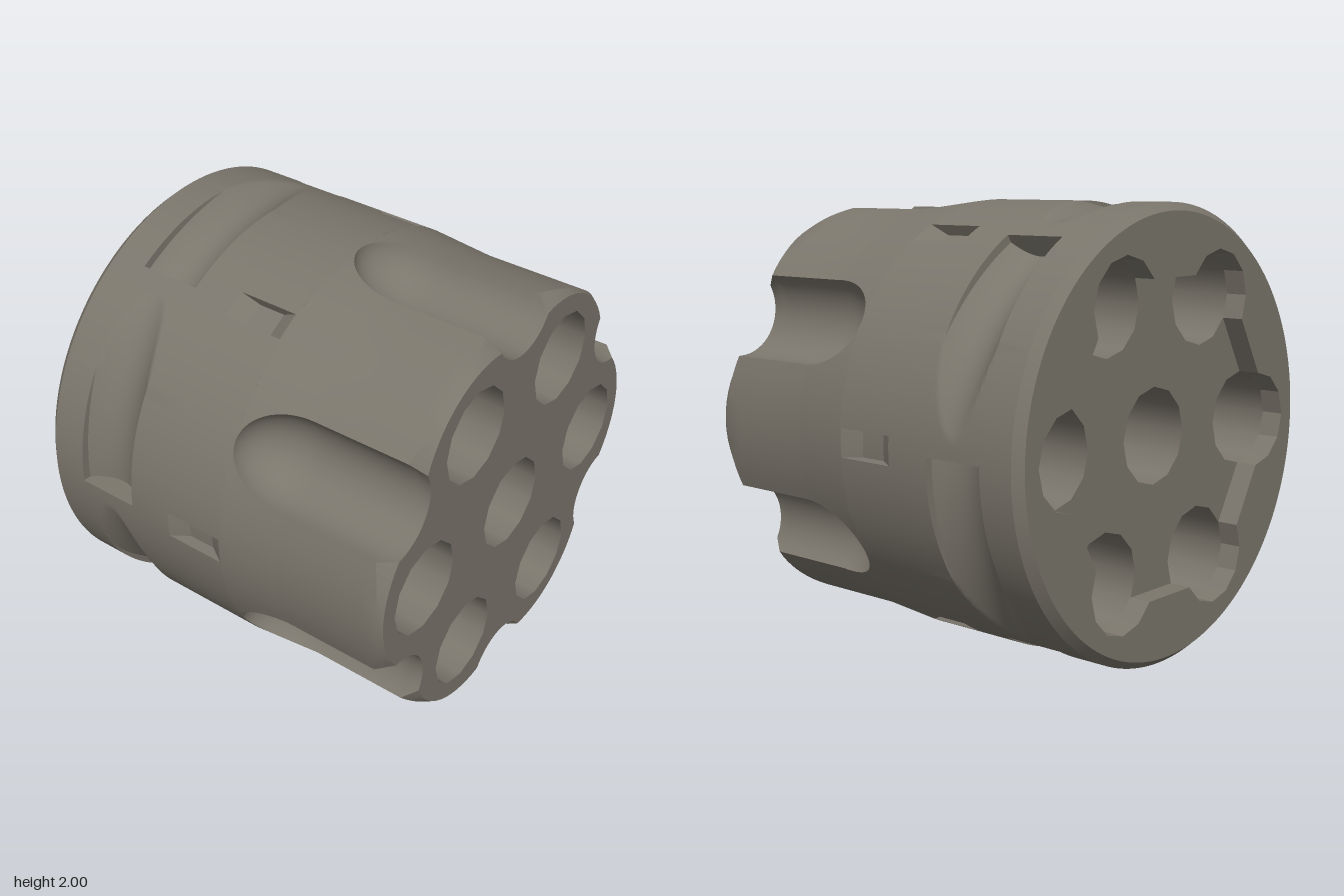
import * as THREE from 'three';
import { toCreasedNormals } from 'three/addons/utils/BufferGeometryUtils.js';

const RAD = Math.PI / 180;
const BACK = -0.905, FLOOR = -0.805, FRONT = 0.905; // main planes along the axis
const NOSE_END = 0.09, NOSE_START = 0.39, FLUTE_R = 0.21;
const BORE_R = 0.215, BORE_RING = 0.67;
const clamp = (v) => Math.min(1, Math.max(0, v));
const polar = (r, a, z) => new THREE.Vector3(r * Math.cos(a), r * Math.sin(a), z);

// Skin between rows of points; rows run counter-clockwise, from front to back, for outward faces
function loft(rows) {
  const n = rows[0].length, index = [];
  for (let i = 0; i < rows.length - 1; i++) {
    for (let j = 0; j < n - 1; j++) {
      const a = i * n + j, b = a + 1, c = a + n, d = c + 1;
      index.push(a, c, b, b, c, d);
    }
  }
  const g = new THREE.BufferGeometry().setFromPoints(rows.flat());
  g.setIndex(index);
  return toCreasedNormals(g, 0.5);
}

// Flat face with holes at a given z
function plate(outline, holes, z, facesBack) {
  const shape = new THREE.Shape(outline);
  shape.holes = holes.map((h) => new THREE.Path(h));
  const g = new THREE.ShapeGeometry(shape);
  if (facesBack) {
    g.index.array.reverse();
    g.computeVertexNormals();
  }
  return g.translate(0, 0, z);
}

// Points of a twelve-sided bore; a chamber's angles are measured from its outward direction
function arc(k, from, to) {
  const points = [], step = Math.sign(to - from) * 30, count = Math.abs(to - from) / 30;
  const dir = k * 60 * RAD, ring = k < 0 ? 0 : BORE_RING;
  for (let i = 0; i <= count; i++) {
    const a = dir + (from + i * step) * RAD;
    points.push(new THREE.Vector2(
      ring * Math.cos(dir) + BORE_R * Math.cos(a), ring * Math.sin(dir) + BORE_R * Math.sin(a)));
  }
  return points;
}
const atZ = (points, z) => points.map((p) => new THREE.Vector3(p.x, p.y, z));

// One ring of the fluted front: six scooped arcs joined by stretches of plain wall
function flutedRing(z, radius, chamfer = 0) {
  const s = clamp((NOSE_START - z) / (NOSE_START - NOSE_END));
  const rho = Math.max(0.001, FLUTE_R * Math.sqrt(1 - s * s));
  const phiMax = Math.acos(Math.min(1, (1 + rho * rho - radius * radius) / (2 * rho)));
  const edge = Math.atan2(rho * Math.sin(phiMax), 1 - rho * Math.cos(phiMax));
  const ring = [];
  for (let k = 0; k < 6; k++) {
    const mid = (30 + 60 * k) * RAD;
    for (let j = 0; j <= 20; j++) {
      const phi = phiMax * (j / 10 - 1);
      const out = 1 - rho * Math.cos(phi), side = rho * Math.sin(phi);
      ring.push(polar(Math.hypot(out, side), mid + Math.atan2(side, out), z));
    }
    for (let j = 1; j < 14; j++) {
      const v = j / 14, c = 4 * v * (1 - v); // the chamfer is smallest midway between flutes
      const r = radius + (chamfer === 2 ? 0.055 * c : 0);
      const dz = chamfer === 1 ? 0.04 * c : 0;
      ring.push(polar(r, mid + edge + (60 * RAD - 2 * edge) * v, z + dz));
    }
  }
  ring.push(ring[0].clone());
  return ring;
}

// Radius of the rear wall; s is degrees clockwise from a chamber's direction
function rearRadius(s, z) {
  let r = 1;
  const w = (z + 0.555) / 0.145;
  if (s < 55 && Math.abs(w) < 1) { // scooped slot, deep at its start and fading out
    const t = s / 55;
    r = Math.min(r, 1 - 0.1 * (1 - t * t) + 0.065 * w * w);
  }
  if (s < 3.6 || s > 56.4) { // small notch with sloping ends
    r -= 0.05 * clamp(Math.min(0.085 - z, z + 0.2) / 0.08);
  }
  return r;
}

function frontWall() {
  const rows = [flutedRing(FRONT, 0.91, 2), flutedRing(0.84, 0.975, 1), flutedRing(0.8, 0.975), flutedRing(0.6, 0.975)];
  for (let i = 0; i <= 16; i++) {
    const s = Math.sin((i / 16) * Math.PI / 2);
    rows.push(flutedRing(NOSE_START - (NOSE_START - NOSE_END) * s, 1 - 0.025 * (1 - s)));
  }
  return rows;
}

function rearWall() {
  const steps = [0.01, 1.2, 2.4, 3.59, 3.61];
  for (let s = 5; s <= 55; s += 1.25) steps.push(s);
  steps.push(56.39, 56.41, 58, 59.99);
  const cols = [];
  for (let k = 1; k <= 6; k++) for (const s of [...steps].reverse()) cols.push([60 * k - s, s]);
  cols.push([cols[0][0] + 360, cols[0][1]]);
  const zs = [NOSE_END, 0.085, 0.005, -0.12, -0.2, -0.409];
  for (let i = 0; i <= 20; i++) zs.push(-0.411 - 0.288 * (i / 20));
  zs.push(-0.701, -0.865);
  const rows = zs.map((z) => cols.map(([a, s]) => polar(rearRadius(s, z), a * RAD, z)));
  rows.push(cols.map(([a]) => polar(0.965, a * RAD, BACK)));
  return rows;
}

export function createModel() {
  const steel = new THREE.MeshStandardMaterial({ color: 0x7b766c, side: THREE.DoubleSide });
  steel.name = 'gunmetal grey';
  const model = new THREE.Group();
  model.name = 'flutedDrum';
  const add = (name, geometry) => {
    const mesh = new THREE.Mesh(geometry, steel);
    mesh.name = name;
    mesh.position.y = 1;
    model.add(mesh);
  };
  const chambers = [0, 1, 2, 3, 4, 5];
  const flat = (row) => row.slice(0, -1).map((p) => new THREE.Vector2(p.x, p.y));

  // Outer wall
  const front = frontWall(), rear = rearWall();
  add('flutedFrontWall', loft(front));
  add('slottedRearWall', loft(rear));

  // Front face with seven bores
  const bores = [-1, ...chambers].map((k) => arc(k, 0, 330));
  add('frontFace', plate(flat(front[0]), bores, FRONT, false));

  // Rear rim, open over the recess and the outer halves of the chambers
  const recess = chambers.flatMap((k) => arc(k, -90, 90));
  add('rearRim', plate(flat(rear[rear.length - 1]), [recess], BACK, true));

  // Recess floor, cut by the inner halves of the chambers
  const floor = chambers.flatMap((k) => arc(k, -90, -270));
  add('recessFloor', plate(floor, [arc(-1, 0, 330)], FLOOR, true));

  // Recess wall
  const loop = [...recess, recess[0]];
  add('recessWall', loft([atZ(loop, BACK), atZ(loop, FLOOR)]));

  // Bore linings
  for (const k of [-1, ...chambers]) {
    const ring = arc(k, 0, 360);
    add(k < 0 ? 'axleBore' : 'chamberBore', toCreasedNormals(loft([atZ(ring, FLOOR), atZ(ring, FRONT)]), 0.6));
  }
  return model;
}
